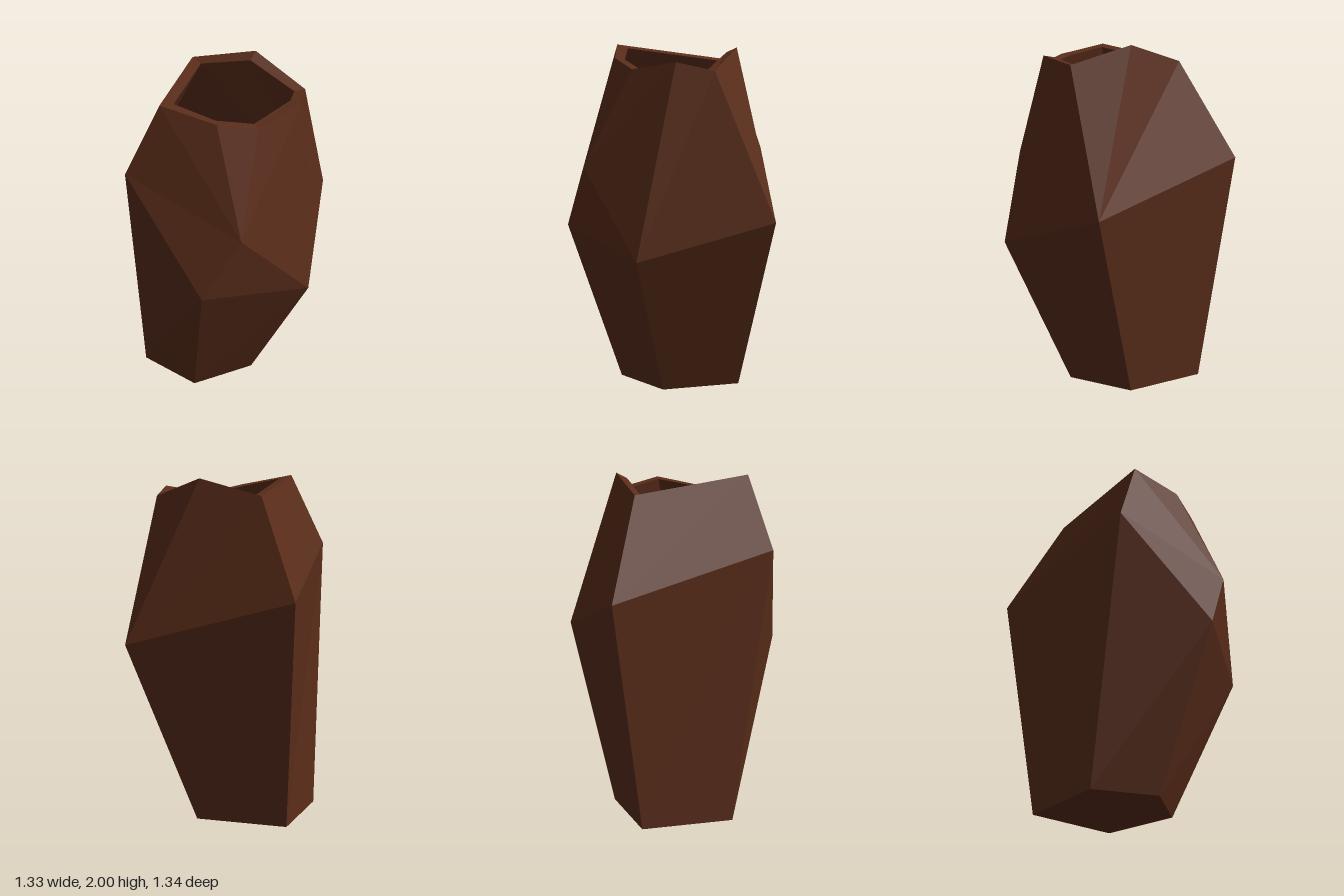
import * as THREE from 'three';

// Cross-sections of the faceted pot, listed clockwise seen from above, as [x, y, z]
const base = [[-0.155, 0, -0.455], [0.265, 0, -0.105], [0.04, 0, 0.3], [-0.345, 0, 0.29], [-0.525, 0, -0.05]];
const belly = [[-0.1, 1.34, -0.67], [0.66, 1.05, 0.01], [0.215, 0.85, 0.655],
  [-0.22, 1.34, 0.665], [-0.435, 0.97, 0.615], [-0.665, 1.585, 0.14]];
const rim = [[-0.04, 1.905, -0.34], [0.24, 2, -0.1], [0.385, 1.89, 0.22], [0.265, 1.94, 0.4],
  [-0.025, 1.89, 0.465], [-0.24, 1.94, 0.405], [-0.47, 2, 0.19]];
const innerRim = [[-0.025, 1.9, -0.26], [0.19, 1.97, -0.065], [0.32, 1.89, 0.215], [0.225, 1.93, 0.345],
  [-0.025, 1.89, 0.41], [-0.22, 1.93, 0.35], [-0.385, 1.98, 0.18]];

// Facets over the points base 0-4, belly 5-10, rim 11-17
const facets = [
  [0, 1, 2, 3, 4],
  [1, 0, 5, 6], [2, 1, 6, 7], [3, 2, 7, 9], [4, 3, 9, 10], [0, 4, 10, 5],
  [6, 5, 11, 12], [6, 12, 13], [7, 6, 13, 14], [8, 7, 14, 15],
  [9, 7, 8], [8, 15, 16], [8, 16, 17, 10, 9], [5, 10, 17, 11],
];

// Flat polygons, each split as a fan
function facetGeometry(points, faces, inward = false) {
  const position = [];
  for (const face of faces) {
    for (let i = 1; i < face.length - 1; i++) {
      const tri = [face[0], face[i], face[i + 1]];
      if (inward) tri.reverse();
      for (const k of tri) position.push(...points[k]);
    }
  }
  const geometry = new THREE.BufferGeometry();
  geometry.setAttribute('position', new THREE.Float32BufferAttribute(position, 3));
  geometry.computeVertexNormals();
  return geometry;
}

// Pull a section towards the axis by the wall thickness
const shrink = (section, scale, lift) => section.map(([x, y, z]) => [x * scale, y + lift, z * scale]);

export function createModel() {
  const group = new THREE.Group();
  group.name = 'facetedVase';
  const material = new THREE.MeshStandardMaterial({ color: 0x5a2d1a, flatShading: true });
  const add = (name, geometry) => {
    const mesh = new THREE.Mesh(geometry, material);
    mesh.name = name;
    group.add(mesh);
  };

  add('outerWall', facetGeometry([...base, ...belly, ...rim], facets));

  // Hollow inside with the same facets
  const inside = [...shrink(base, 0.86, 0.06), ...shrink(belly, 0.89, 0), ...innerRim];
  add('innerWall', facetGeometry(inside, facets, true));

  // Lip joining both walls
  const n = rim.length;
  const lip = rim.map((_, i) => [(i + 1) % n, i, i + n, (i + 1) % n + n]);
  add('lip', facetGeometry([...rim, ...innerRim], lip));

  return group;
}
